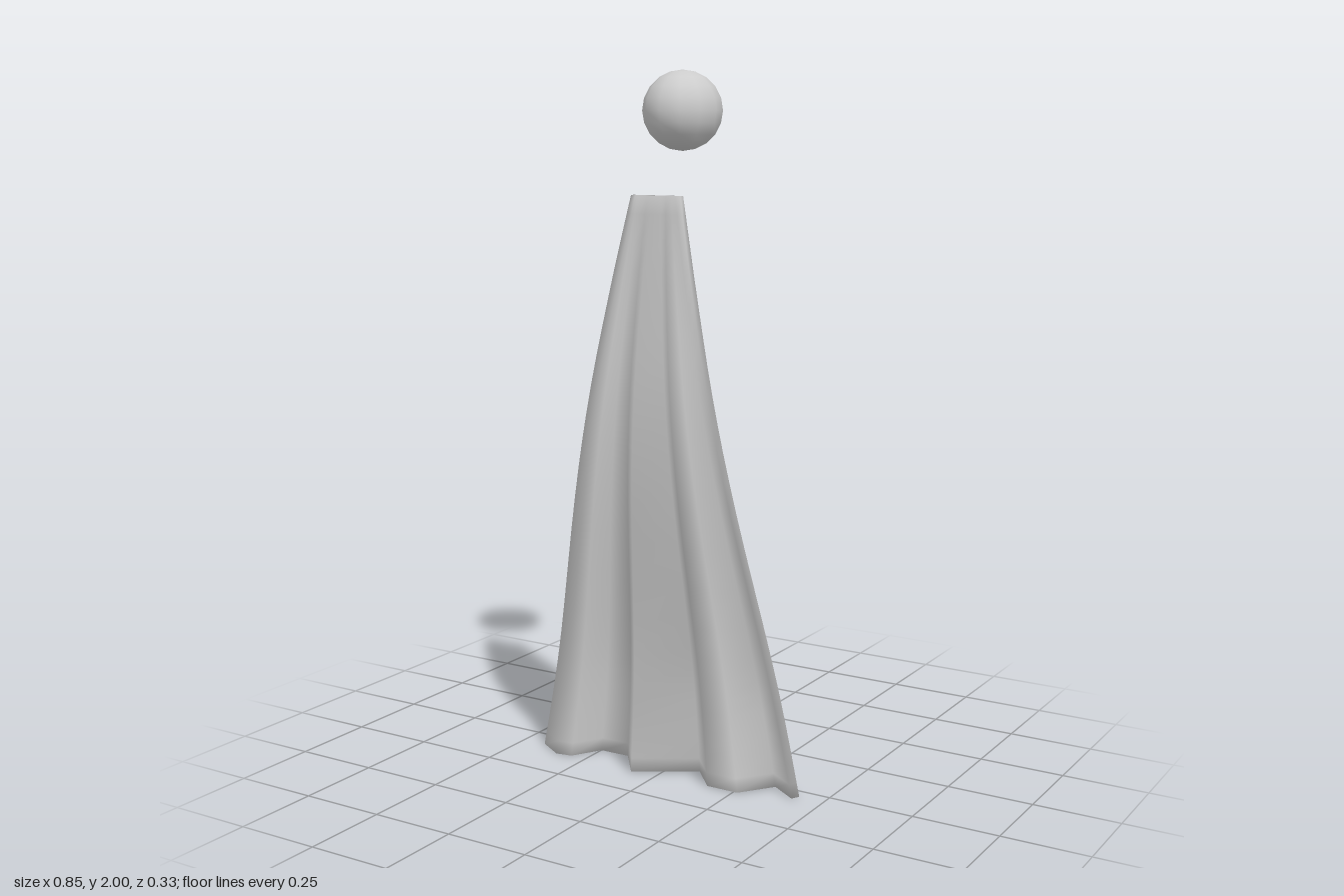
import * as THREE from 'three';

// Hem cross-section: x and z of each fold corner
const HEM = [
  [-0.42, 0.06], [-0.345, 0.107], [-0.31, 0.102], [-0.255, 0.015], [-0.15, 0.013], [-0.08, 0.112],
  [0.09, 0.008], [0.17, 0.092], [0.255, 0.092], [0.33, -0.004], [0.418, 0.05],
];
// Sideways sway of the cloth: y, then mid-depth z
const SWAY = new THREE.SplineCurve([
  [1.66, 0.093], [1.4, 0.117], [1.1, 0.132], [0.8, 0.118], [0.4, 0.072], [0.2, 0.058], [0, 0.055],
].map(([y, z]) => new THREE.Vector2(y, z)));
const HEIGHT = 1.66;

// One closed ring: front face left to right, then back face right to left
function ring(y, sway) {
  const t = 1 - y / HEIGHT;
  const half = 0.007 + 0.006 * t;
  const mid = HEM.map(([x, z]) => new THREE.Vector2(
    THREE.MathUtils.lerp(x * 0.19 - 0.007, x, t),
    sway + (z - 0.055) * t,
  ));
  const side = (s) => mid.map((p, i) => {
    const a = mid[Math.max(i - 1, 0)], b = mid[Math.min(i + 1, mid.length - 1)];
    const d = b.clone().sub(a).normalize();
    return [p.x - d.y * half * s, y, p.y + d.x * half * s];
  });
  return [...side(1), ...side(-1).reverse()];
}

function drapeGeometry() {
  const pos = [], idx = [];
  const rows = 22, n = HEM.length, m = n * 2;
  for (let r = 0; r <= rows; r++) {
    const p = SWAY.getPoint(r / rows);
    ring(Math.max(p.x, 0), p.y).forEach((v) => pos.push(...v));
  }
  for (let r = 0; r < rows; r++) {
    for (let i = 0; i < m; i++) {
      const a = r * m + i, b = r * m + (i + 1) % m;
      idx.push(a, a + m, b, b, a + m, b + m);
    }
  }
  // Caps along the collar and the hem
  const o = rows * m;
  for (let i = 0; i < n - 1; i++) {
    const j = m - 1 - i;
    idx.push(i, i + 1, j, i + 1, j - 1, j);
    idx.push(o + i, o + j, o + i + 1, o + i + 1, o + j, o + j - 1);
  }
  const g = new THREE.BufferGeometry();
  g.setAttribute('position', new THREE.Float32BufferAttribute(pos, 3));
  g.setIndex(idx);
  g.computeVertexNormals();
  return g;
}

export function createModel() {
  const group = new THREE.Group();
  const grey = new THREE.MeshStandardMaterial({ color: 0xcccccc });
  grey.name = 'light grey';

  // Folded hanging cloth
  const cape = new THREE.Mesh(drapeGeometry(), grey);
  cape.name = 'cape';

  // Floating ball above the cloth, slightly deeper than wide
  const ball = new THREE.Mesh(new THREE.SphereGeometry(1, 12, 10), grey);
  ball.name = 'ball';
  ball.scale.set(0.108, 0.111, 0.124);
  ball.position.set(-0.006, 1.889, -0.04);

  group.add(cape, ball);
  return group;
}
